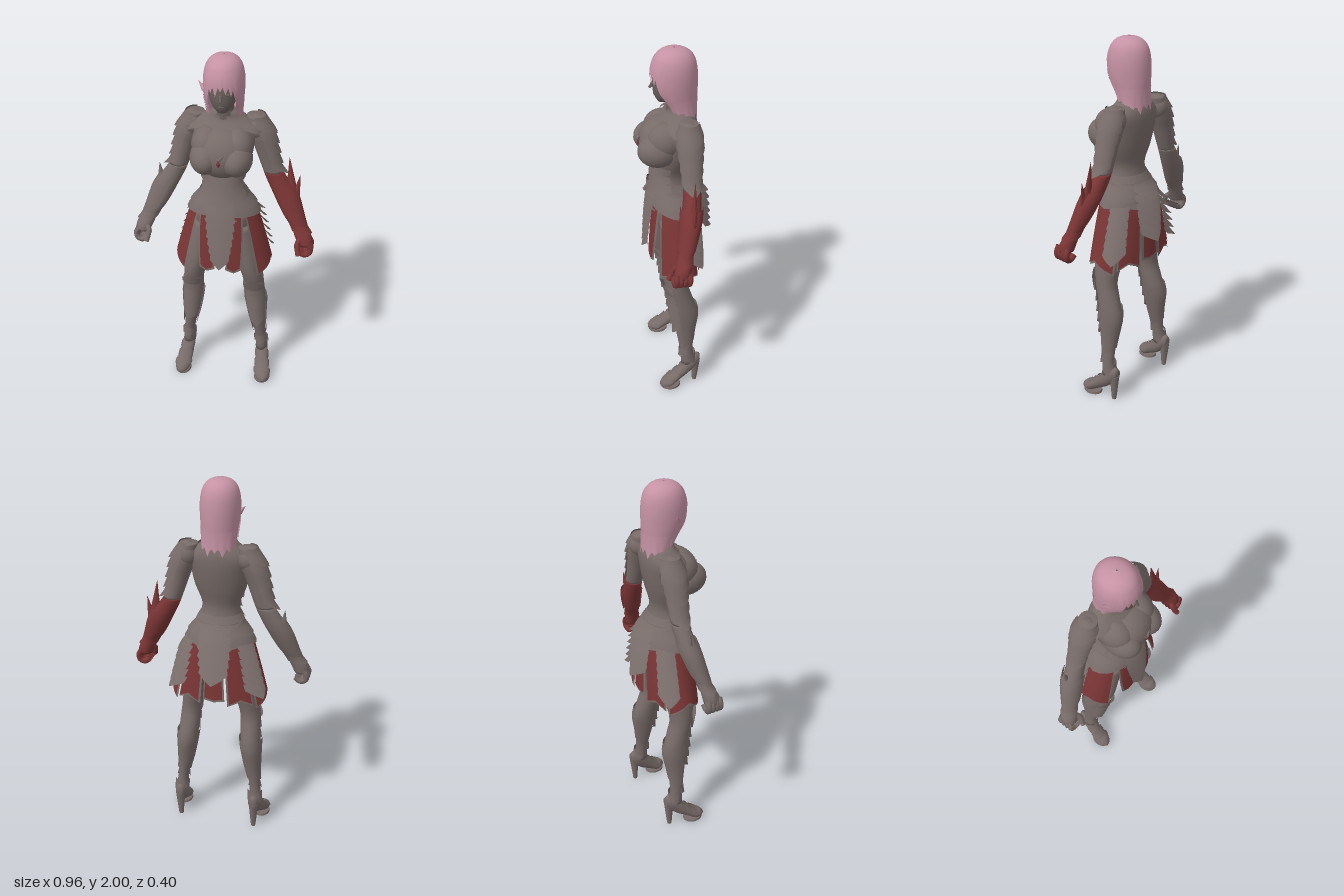
import * as THREE from 'three';
import { mergeVertices } from 'three/addons/utils/BufferGeometryUtils.js';

const mat = (name, color, side = THREE.DoubleSide) => {
  const m = new THREE.MeshStandardMaterial({ color, side });
  m.name = name;
  return m;
};

// Grid surface from a rule p(u, v) with u, v in 0..1
function patch(p, nu, nv) {
  const pos = [], idx = [];
  for (let j = 0; j <= nv; j++) for (let i = 0; i <= nu; i++) pos.push(...p(i / nu, j / nv));
  for (let j = 0; j < nv; j++) for (let i = 0; i < nu; i++) {
    const a = j * (nu + 1) + i, b = a + 1, c = a + nu + 1, d = c + 1;
    idx.push(a, c, b, b, c, d);
  }
  let g = new THREE.BufferGeometry();
  g.setAttribute('position', new THREE.Float32BufferAttribute(pos, 3));
  g.setIndex(idx);
  g = mergeVertices(g, 1e-5);
  g.computeVertexNormals();
  return g;
}

// Smooth stack of ellipses; rows are [y, x, z, rx, rz] from top to bottom
function stack(rows) {
  const at = (y) => {
    const last = rows.length - 1;
    if (y >= rows[0][0]) return rows[0];
    if (y <= rows[last][0]) return rows[last];
    let i = 0;
    while (y < rows[i + 1][0]) i++;
    const a = rows[Math.max(i - 1, 0)], b = rows[i], c = rows[i + 1], d = rows[Math.min(i + 2, last)];
    const h = c[0] - b[0], t = (y - b[0]) / h, t2 = t * t, t3 = t2 * t;
    return b.map((v, k) => {
      const m0 = (c[k] - a[k]) / (c[0] - a[0]) * h, m1 = (d[k] - b[k]) / (d[0] - b[0]) * h;
      return (2 * t3 - 3 * t2 + 1) * v + (t3 - 2 * t2 + t) * m0 + (3 * t2 - 2 * t3) * c[k] + (t3 - t2) * m1;
    });
  };
  return {
    top: rows[0][0], bottom: rows[rows.length - 1][0],
    point(th, y, off = 0, k = 1) {
      const [, x, z, rx, rz] = at(y);
      return [x + k * (rx + off) * Math.sin(th), y, z + k * (rz + off) * Math.cos(th)];
    },
  };
}

// Closed body along a stack, with flat ends
function body(s, y0 = s.top, y1 = s.bottom, nu = 28, nv = 36) {
  return patch((u, v) => {
    const k = v === 0 || v === 1 ? 0 : 1;
    const t = Math.min(Math.max((v * nv - 1) / (nv - 2), 0), 1);
    return s.point((u * 2 - 1) * Math.PI, y0 + (y1 - y0) * t, 0, k);
  }, nu, nv);
}

// Pointed plate lying on a stack, standing out most at its middle ridge;
// widen and slide act at its upper edge
function plate(s, th, half, y, side, tip, off0, off1, widen = 0, slide = 0) {
  return patch((u, v) => {
    const w = u * 2 - 1, ridge = 1 - Math.abs(w);
    const a = th + w * half * (1 + widen * (1 - v)) + slide * (1 - v);
    return s.point(a, y - v * (side + tip * ridge), off0 + (off1 - off0) * v * (0.3 + 0.7 * ridge));
  }, 12, 6);
}

function ellipsoid(x, y, z, rx, ry, rz) {
  return new THREE.SphereGeometry(1, 24, 16).scale(rx, ry, rz).translate(x, y, z);
}

function spike(from, to, r, tipR = 0.001, flat = 1) {
  const a = new THREE.Vector3(...from), d = new THREE.Vector3(...to).sub(a), h = d.length();
  const q = new THREE.Quaternion().setFromUnitVectors(new THREE.Vector3(0, 1, 0), d.normalize());
  return new THREE.CylinderGeometry(tipR, r, h, 10).translate(0, h / 2, 0).scale(1, 1, flat)
    .applyQuaternion(q).translate(...from);
}

const tube = (pts, r) => new THREE.TubeGeometry(
  new THREE.CatmullRomCurve3(pts.map((p) => new THREE.Vector3(...p))), 12, r, 8);

function flipped(geo) {
  const g = geo.clone().scale(-1, 1, 1), i = g.index.array;
  for (let k = 0; k < i.length; k += 3) [i[k], i[k + 1]] = [i[k + 1], i[k]];
  g.computeVertexNormals();
  return g;
}

export function createModel() {
  const model = new THREE.Group();
  const steel = mat('steel', 0x776b68), red = mat('red', 0x7b3535);
  const pink = mat('pink hair', 0xc592a4), skin = mat('skin', 0x6a605d);
  const add = (name, geo, m = steel) => {
    const mesh = new THREE.Mesh(geo, m);
    mesh.name = name;
    model.add(mesh);
  };
  const both = (name, geo, m = steel, mRight = m) => {
    add('left ' + name, geo, m);
    add('right ' + name, flipped(geo), mRight);
  };

  // Torso and bust
  const torso = stack([[1.72, 0, -0.015, 0.05, 0.05], [1.68, 0, -0.03, 0.095, 0.062], [1.63, 0, -0.022, 0.155, 0.088],
    [1.55, 0, -0.003, 0.152, 0.105], [1.45, 0, 0.01, 0.135, 0.1], [1.35, 0, 0.018, 0.1, 0.086], [1.28, 0, 0.012, 0.112, 0.092],
    [1.2, 0, 0, 0.15, 0.11], [1.08, 0, -0.01, 0.155, 0.115], [1, 0, -0.01, 0.12, 0.1], [0.94, 0, -0.01, 0.05, 0.06]]);
  add('torso', body(torso));
  add('chest plate', ellipsoid(0, 1.515, 0.06, 0.145, 0.13, 0.12));
  both('bust', ellipsoid(0.076, 1.502, 0.09, 0.08, 0.086, 0.105));
  both('upper bust', ellipsoid(0.075, 1.555, 0.05, 0.08, 0.09, 0.095));
  add('collar', plate(torso, 0, 1.2, 1.7, 0.025, 0.04, 0.006, 0.014));
  add('chest ornament', new THREE.OctahedronGeometry(0.014).scale(0.8, 1.5, 0.5).translate(0, 1.515, 0.182), red);
  both('ornament wing', spike([0.003, 1.535, 0.18], [0.026, 1.562, 0.175], 0.008));

  // Waist lames, front and back
  for (let i = 0; i < 5; i++) {
    const y = 1.405 - i * 0.05;
    add('waist lame', plate(torso, 0, 1.35, y, 0.03, 0.045, 0.004, 0.03));
    if (i > 1) add('back lame', plate(torso, Math.PI, 1.6, y, 0.03, 0.045, 0.004, 0.025));
  }

  // Skirt: hip lames, red panels on steel borders, columns of scales
  const skirt = stack([[1.26, 0, 0.005, 0.12, 0.1], [1.18, 0, 0, 0.165, 0.122], [1, 0, 0, 0.22, 0.138], [0.8, 0, 0, 0.272, 0.148]]);
  for (let i = 0; i < 2; i++) both('hip lame', plate(skirt, 1.57, 1.5, 1.27 - i * 0.045, 0.045, 0.03, 0.006, 0.02));
  const panel = (put, name, th, half, y, len, tip, widen = 0, slide = 0) => {
    put(name + ' border', plate(skirt, th, half + 0.04, y, len + 0.014, tip, 0, 0, widen, slide));
    put(name, plate(skirt, th, half, y, len, tip, 0.005, 0.005, widen, slide), red);
  };
  panel(both, 'front panel', 0.28, 0.13, 1.19, 0.33, 0.02, 0.5, 0.17);
  panel(both, 'side panel', 1.5, 0.66, 1.19, 0.38, -0.06);
  panel(both, 'rear panel', 2.56, 0.26, 1.19, 0.36, -0.03);
  panel(add, 'tail panel', Math.PI, 0.19, 1.19, 0.33, 0.01);
  for (let i = 0; i < 8; i++) {
    const y = 1.27 - i * 0.046, w = 0.5 - i * 0.043;
    add('front scale', plate(skirt, 0, w, y, 0.03, 0.05, 0.012, 0.036));
    if (i < 6) add('back scale', plate(skirt, Math.PI, w + 0.05, y, 0.03, 0.05, 0.008, 0.062));
    if (i > 1) both('rear hip scale', plate(skirt, 2.13, 0.32, y, 0.03, 0.045, 0.006, 0.055));
  }

  // Legs with knee and shin lames, greaves and ankle guards
  const leg = stack([[1.08, 0.085, -0.01, 0.075, 0.1], [0.95, 0.115, 0, 0.078, 0.095], [0.8, 0.15, 0.018, 0.063, 0.078],
    [0.7, 0.168, 0.015, 0.056, 0.062], [0.62, 0.174, -0.005, 0.056, 0.063], [0.52, 0.183, -0.025, 0.053, 0.07],
    [0.4, 0.193, -0.027, 0.042, 0.054], [0.3, 0.207, -0.03, 0.032, 0.041], [0.22, 0.216, -0.035, 0.031, 0.036],
    [0.15, 0.219, -0.045, 0.034, 0.045]]);
  both('leg', body(leg));
  for (let i = 0; i < 5; i++) both('shin lame', plate(leg, 0, 1.05, 0.72 - i * 0.062, 0.045, 0.05, 0.004, 0.024));
  both('knee crest', plate(leg, 0.1, 0.9, 0.67, -0.03, -0.06, 0.014, 0.02));
  both('greave', plate(leg, Math.PI, 1.95, 0.57, 0.28, -0.04, 0.01, 0.004));
  both('ankle guard', plate(leg, 0, 1.5, 0.27, 0.03, 0.03, 0.004, 0.015));
  both('heel guard', plate(leg, Math.PI, 1.4, 0.235, 0.06, 0.02, 0.012, 0.01));

  // High-heeled boots, stacked along their length and then laid flat
  const foot = stack([[0.126, 0.245, -0.02, 0.012, 0.012], [0.105, 0.243, -0.03, 0.034, 0.026], [0.07, 0.238, -0.038, 0.045, 0.035],
    [0.02, 0.231, -0.075, 0.039, 0.044], [-0.04, 0.222, -0.125, 0.036, 0.055], [-0.08, 0.218, -0.16, 0.033, 0.05], [-0.108, 0.217, -0.175, 0.018, 0.028]]);
  both('boot', body(foot).rotateX(Math.PI / 2));
  both('boot sole', new THREE.CylinderGeometry(0.044, 0.046, 0.012, 20).scale(1, 1, 1.25).translate(0.239, 0.006, 0.065));
  both('heel', spike([0.219, 0.16, -0.085], [0.219, 0, -0.08], 0.028, 0.013));
  for (let i = 0; i < 3; i++) {
    both('boot lame', plate(foot, Math.PI, 1.4, 0.085 - i * 0.04, 0.03, -0.012, 0.004, 0.009).rotateX(Math.PI / 2));
  }

  // Arms: the left one is red from the elbow down
  const arm = stack([[1.68, 0.15, -0.045, 0.045, 0.045], [1.6, 0.172, -0.045, 0.06, 0.058], [1.5, 0.202, -0.045, 0.052, 0.05],
    [1.4, 0.232, -0.045, 0.046, 0.044], [1.34, 0.263, -0.042, 0.054, 0.044], [1.25, 0.315, -0.028, 0.062, 0.047],
    [1.15, 0.361, -0.005, 0.054, 0.041], [1.075, 0.402, 0.015, 0.042, 0.033], [1.03, 0.425, 0.028, 0.045, 0.04], [0.995, 0.436, 0.034, 0.04, 0.042]]);
  both('upper arm', body(arm, 1.68, 1.375));
  both('forearm', body(arm, 1.375, 0.995), red, steel);
  both('shoulder', ellipsoid(0.16, 1.62, -0.042, 0.06, 0.066, 0.064));
  for (let i = 0; i < 5; i++) {
    both('pauldron lame', plate(arm, 1.57, 1.55 - i * 0.08, 1.685 - i * 0.056, 0.05, 0.045, 0.005, 0.025));
  }
  both('shoulder guard', plate(torso, 1.2, 0.5, 1.7, 0.06, 0.03, 0.012, 0.03));

  // Vambraces with elbow spikes and cuffs
  both('vambrace', plate(arm, 1.4, 1.7, 1.3, 0.17, 0.05, 0.01, 0.004), red, steel);
  both('cuff', plate(arm, 1.57, 3.1, 1.1, 0.03, 0.015, 0.003, 0.012), red, steel);
  add('left elbow spike', spike([0.35, 1.23, -0.035], [0.325, 1.455, -0.045], 0.036, 0.001, 0.6), red);
  add('left small spike', spike([0.365, 1.22, -0.03], [0.385, 1.36, -0.04], 0.026, 0.001, 0.6), red);
  add('right elbow spike', spike([-0.335, 1.22, -0.035], [-0.347, 1.365, -0.045], 0.034, 0.001, 0.6));

  // Hands with curled fingers
  for (let i = 0; i < 4; i++) {
    const z = 0.002 + i * 0.022;
    both('finger', tube([[0.45, 1.015, z], [0.466, 0.985, z], [0.458, 0.955, z + 0.003], [0.43, 0.948, z + 0.006],
      [0.408, 0.965, z + 0.006]], 0.016), red, steel);
  }
  both('thumb', tube([[0.41, 1.035, 0.045], [0.396, 1.005, 0.075], [0.402, 0.975, 0.09], [0.408, 0.955, 0.102]], 0.014), red, steel);

  // Head and neck
  const head = stack([[1.93, 0, 0.015, 0.06, 0.07], [1.86, 0, 0.022, 0.072, 0.08], [1.8, 0, 0.028, 0.066, 0.076],
    [1.76, 0, 0.038, 0.05, 0.056], [1.735, 0, 0.055, 0.024, 0.025]]);
  add('head', body(head), skin);
  add('neck', new THREE.CylinderGeometry(0.042, 0.05, 0.13, 20).translate(0, 1.725, -0.008), skin);
  add('nose', spike([0, 1.835, 0.098], [0, 1.806, 0.119], 0.01, 0.006), skin);
  add('lips', ellipsoid(0, 1.775, 0.094, 0.017, 0.007, 0.008), skin);
  both('eyelid', ellipsoid(0.03, 1.838, 0.094, 0.014, 0.006, 0.006), skin);

  // Hair: shell open at the face, pointed fringe and hanging locks
  const hair = stack([[2, 0, 0, 0.004, 0.004], [1.994, 0, 0, 0.04, 0.042], [1.975, 0, 0, 0.07, 0.078], [1.94, 0, 0, 0.09, 0.101],
    [1.88, 0, 0, 0.1, 0.112], [1.8, 0, -0.005, 0.097, 0.108], [1.72, 0, -0.028, 0.086, 0.08], [1.66, 0, -0.042, 0.08, 0.064],
    [1.6, 0, -0.055, 0.07, 0.052]]);
  add('hair shell', patch((u, v) => {
    const y = 2 - 0.33 * v * v * (2 - v);
    const gap = 0.7 * THREE.MathUtils.smoothstep(1.9 - y, 0, 0.05) + 0.4 * THREE.MathUtils.smoothstep(1.86 - y, 0, 0.08);
    return hair.point(gap + u * (2 * Math.PI - 2 * gap), y);
  }, 36, 30), pink);
  for (let i = 0; i < 7; i++) {
    add('fringe lock', plate(hair, -0.72 + i * 0.24, 0.17, 1.955, 0.06, 0.035 + (i % 3) * 0.014, 0.001, 0.006, 0.2), pink);
  }
  for (let i = 0; i < 9; i++) {
    add('back lock', plate(hair, 1.3 + i * 0.46, 0.3, 1.76, 0.07, 0.035 + (i % 2) * 0.02, 0.002, 0.008), pink);
  }
  both('temple lock', plate(hair, 0.78, 0.2, 1.9, 0.04, 0.08, 0.002, 0.005, 0.3), pink);
  both('side lock', plate(hair, 0.98, 0.2, 1.84, 0.1, 0.085, 0.002, 0.006, 0.3), pink);
  both('thin lock', plate(hair, 1.25, 0.16, 1.8, 0.08, 0.06, 0.004, 0.014), pink);
  add('loose tuft', spike([-0.09, 1.83, 0.03], [-0.122, 1.865, 0.01], 0.014), pink);
  return model;
}
